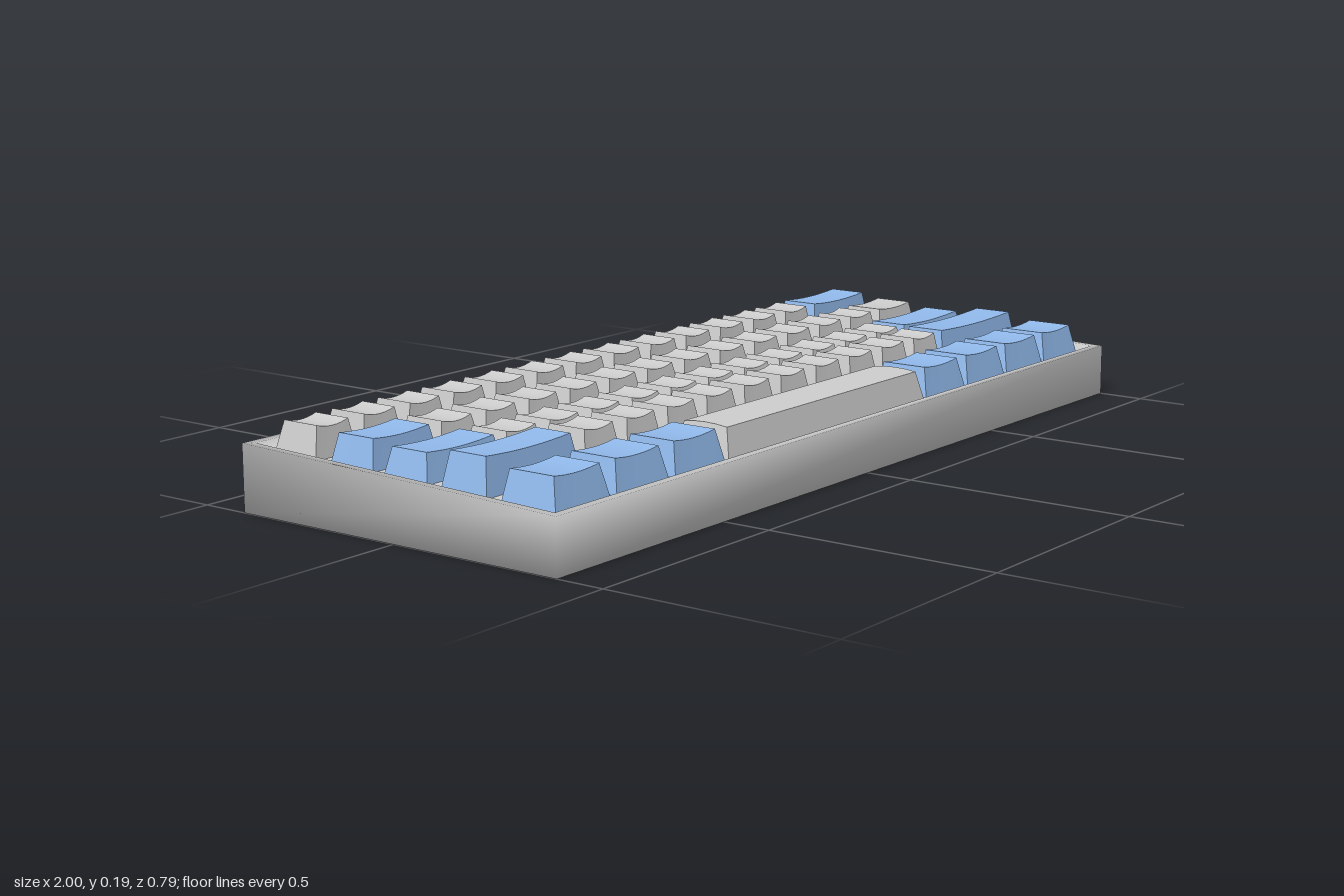
import * as THREE from 'three';
import { toCreasedNormals } from 'three/addons/utils/BufferGeometryUtils.js';

const grey = new THREE.MeshStandardMaterial({ color: 0xcccccc });
const blue = new THREE.MeshStandardMaterial({ color: 0x90b8ea });

const rimY = z => 0.127 - 0.0316 * z; // case top slopes up to the back
const floorY = z => rimY(z) - 0.014;

// Tray: rectangular rings joined from the underside, over the rim, to the recessed plate
function makeCase() {
  const rings = [
    [1, 0.395, () => 0],
    [1, 0.395, rimY],
    [0.982, 0.377, rimY],
    [0.98, 0.375, floorY],
  ];
  const pos = [], idx = [0, 2, 1, 0, 3, 2];
  for (const [x, z, y] of rings)
    for (const [sx, sz] of [[-1, -1], [-1, 1], [1, 1], [1, -1]]) pos.push(sx * x, y(sz * z), sz * z);
  for (let r = 0; r < rings.length - 1; r++)
    for (let j = 0; j < 4; j++) {
      const a = r * 4 + j, b = r * 4 + (j + 1) % 4;
      idx.push(a, b, b + 4, a, b + 4, a + 4);
    }
  const f = (rings.length - 1) * 4;
  idx.push(f, f + 1, f + 2, f, f + 2, f + 3);
  const g = new THREE.BufferGeometry();
  g.setAttribute('position', new THREE.Float32BufferAttribute(pos, 3));
  g.setIndex(idx);
  g.computeVertexNormals();
  const mesh = new THREE.Mesh(g, grey);
  mesh.name = 'case';
  return mesh;
}

// Keycap: tapered block whose top is scooped across its width (or gently crowned)
function makeKey(name, x0, x1, row, material, dish = 0.007) {
  const g = new THREE.BoxGeometry(1, 1, 1, 8, 1, 4);
  const p = g.attributes.position;
  const cx = (x0 + x1) / 2, w = x1 - x0;
  for (let i = 0; i < p.count; i++) {
    const u = p.getX(i), v = p.getZ(i), top = p.getY(i) > 0;
    const [zb, zf] = top ? row.top : row.base;
    const z = (zb + zf) / 2 + v * (zf - zb);
    const scoop = dish > 0 ? dish * (1 - 4 * u * u) : -dish * 4 * v * v;
    p.setXYZ(i, cx + u * (top ? w - 0.028 : w), top ? row.y - scoop : floorY(z), z);
  }
  const mesh = new THREE.Mesh(toCreasedNormals(g, 0.6), material);
  mesh.name = name;
  return mesh;
}

// Rows from back to front: depth at base and top, height, end keys and letter keys
const pitch = 0.1297, keyWidth = 0.113;
const rows = [
  { name: 'numberRow', base: [-0.338, -0.228], top: [-0.324, -0.237], y: 0.187,
    start: -0.968, count: 13, wide: [[0.711, 0.945, blue]] },
  { name: 'upperRow', base: [-0.199, -0.089], top: [-0.189, -0.1], y: 0.178,
    start: -0.766, count: 12, wide: [[-0.957, -0.775, blue], [0.786, 0.943, grey]] },
  { name: 'homeRow', base: [-0.061, 0.049], top: [-0.051, 0.036], y: 0.17,
    start: -0.732, count: 11, wide: [[-0.957, -0.742, blue], [0.682, 0.941, blue]] },
  { name: 'lowerRow', base: [0.083, 0.195], top: [0.095, 0.182], y: 0.183,
    start: -0.674, count: 10, wide: [[-0.957, -0.688, blue], [0.612, 0.941, blue]] },
  { name: 'bottomRow', base: [0.229, 0.358], top: [0.239, 0.343], y: 0.169, start: 0, count: 0,
    wide: [[-0.957, -0.8], [-0.782, -0.624], [-0.605, -0.446], [0.283, 0.443], [0.454, 0.613],
      [0.622, 0.782], [0.79, 0.943]].map(k => [...k, blue]) },
];

export function createModel() {
  const model = new THREE.Group();
  model.name = 'keyboard';
  model.add(makeCase());
  for (const row of rows) {
    const group = new THREE.Group();
    group.name = row.name;
    for (let i = 0; i < row.count; i++) {
      const x = row.start + i * pitch;
      group.add(makeKey('letterKey', x, x + keyWidth, row, grey));
    }
    for (const [x0, x1, material] of row.wide)
      group.add(makeKey('modifierKey', x0, x1, row, material, 0.005));
    if (row.name === 'bottomRow') group.add(makeKey('spaceBar', -0.435, 0.275, row, grey, -0.004));
    model.add(group);
  }
  return model;
}
